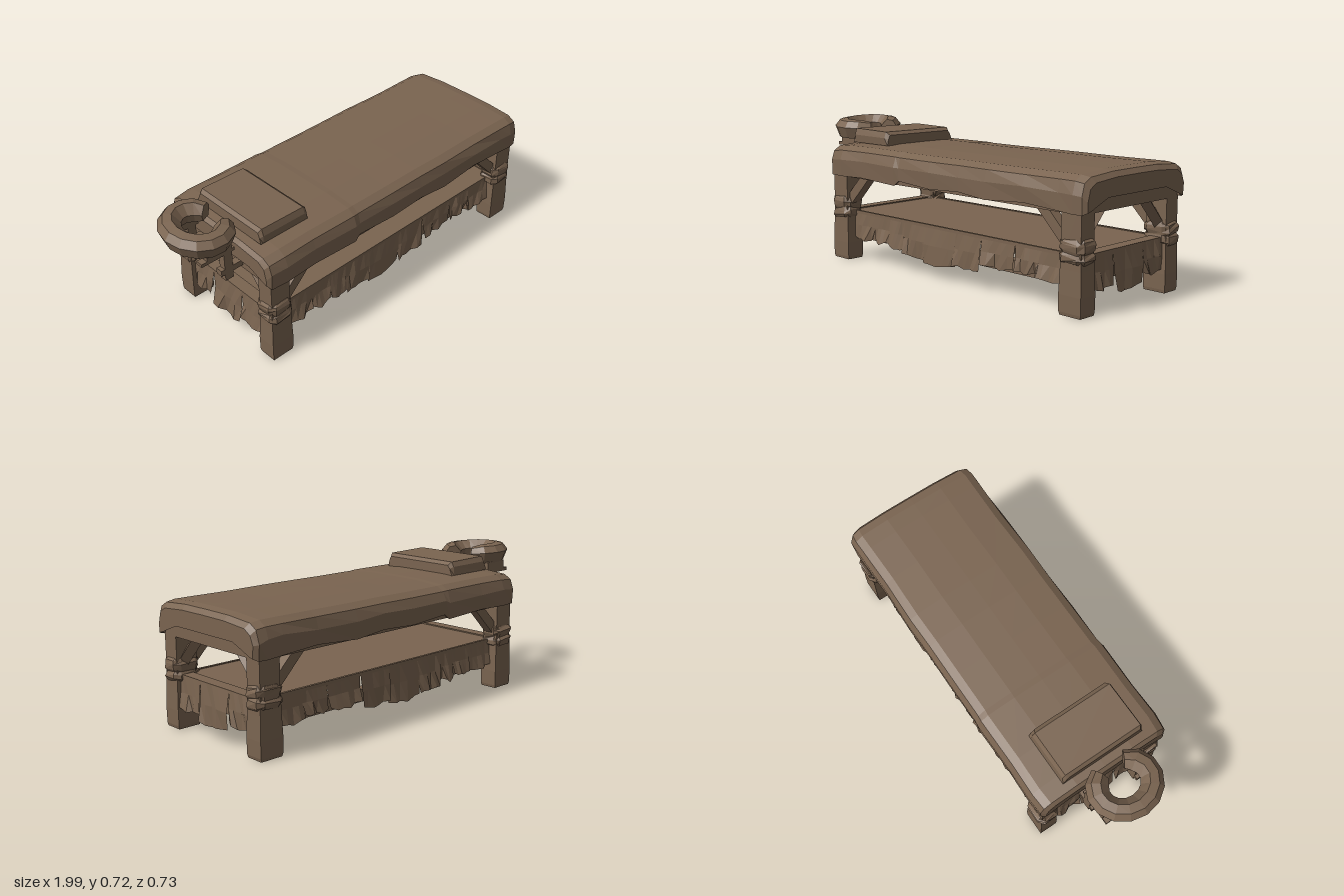
import * as THREE from 'three';

const wood = new THREE.MeshStandardMaterial({ color: 0x7a6450, flatShading: true });
wood.name = 'brown';
const cloth = wood.clone();
cloth.name = 'brown cloth';
cloth.side = THREE.DoubleSide;

// Small seeded random numbers in -1..1
let seed = 7;
const rnd = () => {
  seed = (seed * 16807) % 2147483647;
  return (seed / 2147483647) * 2 - 1;
};

export function createModel() {
  const model = new THREE.Group();

  const add = (name, geo, mat = wood) => {
    const m = new THREE.Mesh(geo, mat);
    m.name = name;
    model.add(m);
    return m;
  };

  // Box given by its minimum and maximum corners
  const box = (name, x0, x1, y0, y1, z0, z1) => {
    const m = add(name, new THREE.BoxGeometry(x1 - x0, y1 - y0, z1 - z0));
    m.position.set((x0 + x1) / 2, (y0 + y1) / 2, (z0 + z1) / 2);
  };

  // Bar between two points
  const beam = (name, a, b, h, w) => {
    const p = new THREE.Vector3(...a), d = new THREE.Vector3(...b).sub(p);
    const m = add(name, new THREE.BoxGeometry(d.length(), h, w));
    m.position.copy(p).addScaledVector(d, 0.5);
    m.quaternion.setFromUnitVectors(new THREE.Vector3(1, 0, 0), d.normalize());
  };

  // Closed skin through equal rings of points, with fan caps
  const loft = (rings) => {
    const n = rings[0].length, index = [];
    for (let i = 0; i < rings.length - 1; i++) {
      for (let j = 0; j < n; j++) {
        const a = i * n + j, b = i * n + (j + 1) % n;
        index.push(a, a + n, b, b, a + n, b + n);
      }
    }
    const last = (rings.length - 1) * n;
    for (let k = 1; k < n - 1; k++) {
      index.push(0, k, k + 1, last, last + k + 1, last + k);
    }
    const g = new THREE.BufferGeometry();
    g.setAttribute('position', new THREE.Float32BufferAttribute(rings.flat(2), 3));
    g.setIndex(index);
    const flat = g.toNonIndexed();
    flat.computeVertexNormals();
    return flat;
  };

  // Draped mattress cover: [x, top height, hem height, width factor]
  const stations = [
    [-0.722, 0.58, 0.46, 0.92], [-0.705, 0.6, 0.44, 0.97], [-0.62, 0.608, 0.44, 0.99],
    [-0.45, 0.61, 0.445, 0.98], [-0.2, 0.61, 0.435, 0.99], [-0.17, 0.608, 0.46, 0.98],
    [0.05, 0.608, 0.445, 0.98], [0.25, 0.61, 0.455, 0.98], [0.42, 0.61, 0.44, 0.99],
    [0.65, 0.61, 0.455, 0.975], [0.85, 0.612, 0.445, 0.985], [0.93, 0.612, 0.44, 0.99],
    [0.975, 0.605, 0.44, 0.975], [0.994, 0.582, 0.45, 0.93],
  ];
  add('mattressCover', loft(stations.map(([x, top, hem, w]) => {
    const side = (s) => [
      [0.16, top - 0.001], [0.31, top - 0.012], [0.35, top - 0.035],
      [0.367 + rnd() * 0.004, top - 0.085 + rnd() * 0.01],
      [0.364, hem], [0.342, hem + 0.005], [0.335, 0.5],
    ].map(([z, y]) => [x, y, s * z * w]);
    return [[x, top, 0], ...side(-1), ...side(1).reverse()];
  })), cloth);

  // Solid table top under the mattress
  box('tableTop', -0.7, 0.965, 0.438, 0.51, -0.344, 0.344);

  // Square upright section: [height, scale] rings around a centre
  const foot = [[0, 0.94], [0.015, 1], [0.09, 1.02], [0.2, 0.95], [0.26, 0.93]];
  const corners = [[1, 1], [-1, 1], [-1, -1], [1, -1]];
  // Octagon for the lumpy cord wrapping
  const octagon = [[1, 0.6], [0.6, 1], [-0.6, 1], [-1, 0.6], [-1, -0.6], [-0.6, -1], [0.6, -1], [1, -0.6]];
  const wrap = [[0.225, 0.94], [0.238, 1.08], [0.258, 1.1], [0.27, 0.95], [0.285, 1.08],
    [0.305, 1.12], [0.318, 1.02], [0.332, 0.84]];

  // Legs with wrapped cords and braces at each corner
  for (const [x, inX] of [[-0.65, 1], [0.91, -1]]) {
    for (const s of [-1, 1]) {
      const z = s * 0.3;
      add('legFoot', loft(foot.map(([y, f]) =>
        corners.map(([u, v]) => [x + u * 0.06 * f, y, z + v * 0.047 * f]))));
      box('legPost', x - 0.054, x + 0.054, 0.24, 0.5, z - 0.043, z + 0.043);
      add('legWrap', loft(wrap.map(([y, f]) => octagon.map(([u, v]) => {
        const k = f * (1 + rnd() * 0.07);
        return [x + u * 0.062 * k, y + rnd() * 0.008, z + v * 0.052 * k];
      }))));
      beam('longBrace', [x + inX * 0.04, 0.305, z], [x + inX * 0.19, 0.455, z], 0.05, 0.05);
      beam('crossBrace', [x, 0.315, s * 0.275], [x, 0.46, s * 0.14], 0.05, 0.045);
    }
    // Lower end rails between the legs
    box('ladderEndRail', x + inX * 0.06 - 0.025, x + inX * 0.06 + 0.025, 0.11, 0.16, -0.25, 0.25);
  }

  // Thin covered shelf over long rails and slats
  box('shelf', -0.63, 0.89, 0.242, 0.254, -0.285, 0.285);
  for (const s of [-1, 1]) {
    box('lowerSideRail', -0.62, 0.88, 0.11, 0.17, s * 0.255 - 0.022, s * 0.255 + 0.022);
  }
  for (const x of [-0.54, -0.45, -0.36, -0.26, -0.15, 0.02, 0.28, 0.54, 0.68, 0.77]) {
    box('slat', x - 0.024, x + 0.024, 0.125, 0.15, -0.25, 0.25);
  }

  // Ragged cloth panel hanging between a and b; place maps (along, out) to x, z
  const panel = (a, b, drop, place) => {
    const g = new THREE.PlaneGeometry(1, 1, 5, 2);
    const p = g.attributes.position;
    for (let i = 0; i < p.count; i++) {
      const u = p.getX(i) + 0.5, v = 0.5 - p.getY(i);
      const along = a + (b - a) * (0.5 + (u - 0.5) * (1 - 0.07 * v));
      const y = v > 0.9
        ? drop + 0.008 * rnd() + 0.025 * Math.abs(u - 0.45)
        : 0.257 - v * (0.257 - drop);
      const [x, z] = place(along, v * 0.016 + v * rnd() * 0.014);
      p.setXYZ(i, x, y, z);
    }
    g.computeVertexNormals();
    add('skirtCloth', g, cloth);
  };
  const sidePanels = [[-0.6, -0.42, 0.11], [-0.43, -0.3, 0.11], [-0.31, -0.2, 0.1], [-0.21, -0.04, 0.075],
    [-0.06, 0.17, 0.06], [0.15, 0.34, 0.08], [0.34, 0.55, 0.115], [0.55, 0.7, 0.12], [0.68, 0.86, 0.11]];
  const endPanels = [[-0.255, -0.105, 0.1], [-0.105, 0.105, 0.06], [0.105, 0.255, 0.095]];
  for (const s of [-1, 1]) {
    for (const [a, b, d] of sidePanels) panel(a, b, d, (t, o) => [t, s * (0.292 + o)]);
    box('skirtHem', -0.6, 0.86, 0.242, 0.258, s * 0.288 - 0.007, s * 0.288 + 0.007);
  }
  for (const [x, s] of [[-0.685, -1], [0.945, 1]]) {
    for (const [a, b, d] of endPanels) panel(a, b, d, (t, o) => [x + s * o, t]);
    box('skirtEndHem', Math.min(x, x - s * 0.06), Math.max(x, x - s * 0.06), 0.242, 0.26, -0.26, 0.26);
  }

  // Pillow with softened upper edges
  add('pillow', loft([[-0.665, 0.018, 0.01], [-0.65, 0, 0], [-0.41, 0.004, 0], [-0.39, 0.02, 0.01]].map(([x, d, e]) => [
    [x, 0.605, 0.24], [x, 0.645 - d / 2, 0.243 - e], [x, 0.678 - d, 0.232 - e],
    [x, 0.676 - d, -0.188 + e], [x, 0.65 - d / 2, -0.202 + e], [x, 0.605, -0.208],
  ])));

  // Horseshoe face rest, open towards the table: [out, up] cross-section
  const section = [[0.056, 0.012], [0.03, 0.045], [-0.012, 0.052], [-0.052, 0.01], [-0.04, -0.035], [0.035, -0.045]];
  const rest = [];
  for (let i = 0; i <= 12; i++) {
    const t = THREE.MathUtils.lerp(Math.PI * 2 - 0.52, 0.52, i / 12);
    const end = i === 0 || i === 12 ? 0.8 : 1;
    rest.push(section.map(([out, up]) => [
      -0.832 + (0.112 + out * end) * Math.cos(t),
      0.66 - 0.006 * Math.sin(t) - 0.004 * Math.cos(t) + up * end,
      0.01 + (0.13 + out * end) * Math.sin(t),
    ]));
  }
  add('faceRest', loft(rest));

  // Twin brackets carrying the face rest
  for (const s of [-1, 1]) {
    const z0 = s * 0.13 - 0.018, z1 = s * 0.13 + 0.018;
    box('restPlate', -0.92, -0.74, 0.565, 0.582, z0, z1);
    box('restStrut', -0.89, -0.76, 0.575, 0.625, z0, z1);
    box('restPost', -0.8, -0.755, 0.42, 0.62, z0, z1);
    box('restArm', -0.82, -0.68, 0.455, 0.485, z0, z1);
  }

  return model;
}
